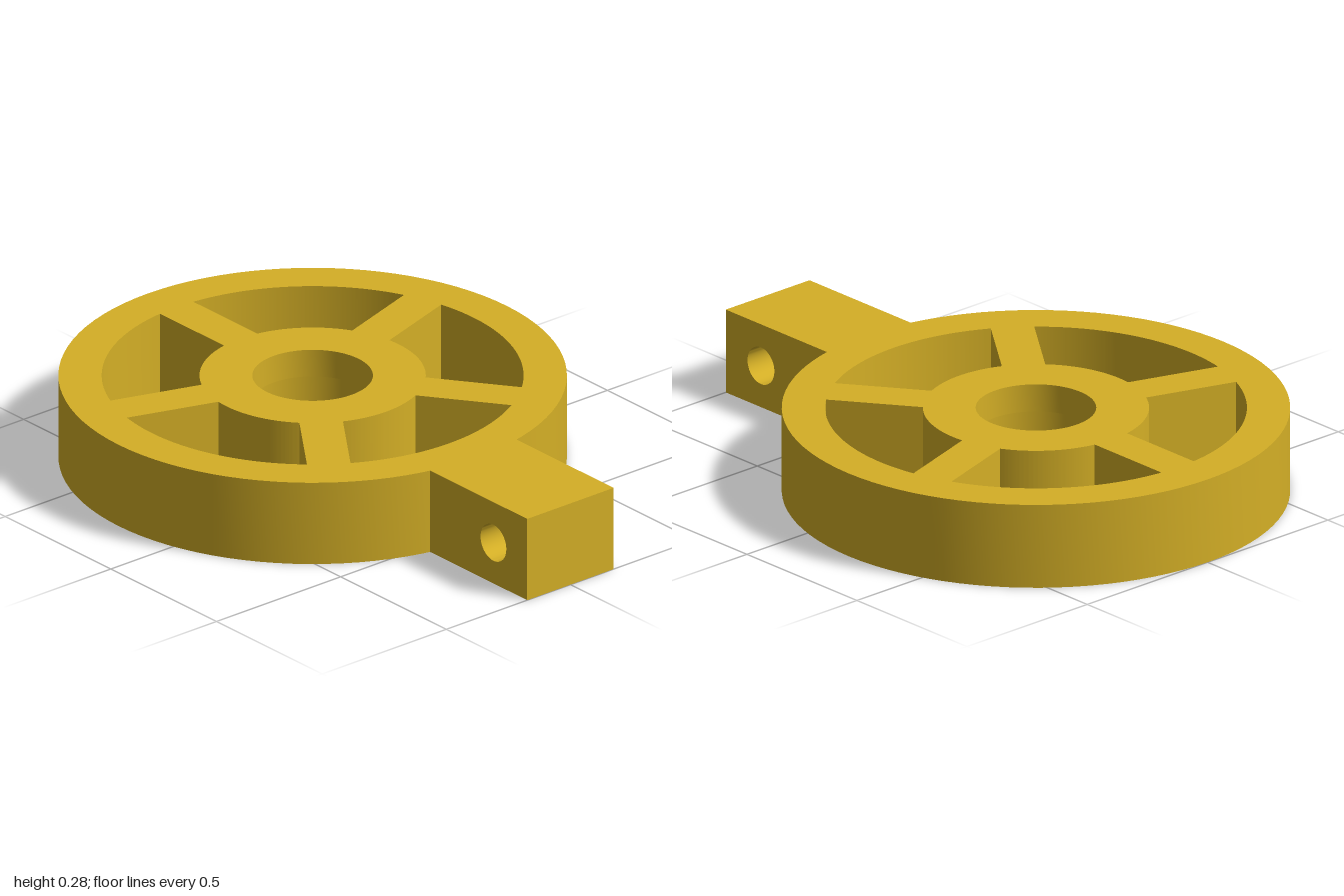
import * as THREE from 'three';
import { toCreasedNormals } from 'three/addons/utils/BufferGeometryUtils.js';

const HEIGHT = 0.275;
const CENTRE_Z = -0.22;
const RIM_OUTER = 0.78, RIM_INNER = 0.647;
const HUB_OUTER = 0.347, RECESS = 0.225, BORE = 0.185;
const SPOKES = 5, SPOKE_HALF = 0.067;
const TAB_HALF = 0.174;

function circle(x, y, r) {
  return new THREE.Path().absarc(x, y, r, 0, Math.PI * 2, true);
}

// opening between two neighbouring spokes with parallel sides
function windowPath(angle) {
  const next = angle + (Math.PI * 2) / SPOKES;
  const outer = Math.asin(SPOKE_HALF / RIM_INNER);
  const inner = Math.asin(SPOKE_HALF / HUB_OUTER);
  const path = new THREE.Path();
  path.absarc(0, 0, RIM_INNER, angle + outer, next - outer, false);
  path.absarc(0, 0, HUB_OUTER, next - inner, angle + inner, true);
  path.closePath();
  return path;
}

function extrude(shape, depth, curveSegments) {
  const geometry = new THREE.ExtrudeGeometry(shape, { depth, curveSegments, bevelEnabled: false });
  return toCreasedNormals(geometry, 0.5);
}

export function createModel() {
  const group = new THREE.Group();
  const gold = new THREE.MeshStandardMaterial({ color: 0xd4af26 });
  gold.name = 'gold';
  const add = (name, geometry) => {
    const mesh = new THREE.Mesh(geometry, gold);
    mesh.name = name;
    group.add(mesh);
    return mesh;
  };

  // rim, five spokes and hub in one plate
  const plate = new THREE.Shape().absarc(0, 0, RIM_OUTER, 0, Math.PI * 2, false);
  plate.holes.push(circle(0, 0, RECESS));
  for (let i = 0; i < SPOKES; i++) {
    plate.holes.push(windowPath(Math.PI / 2 + (i * Math.PI * 2) / SPOKES));
  }
  const wheel = add('spokedWheel', extrude(plate, HEIGHT, 48).rotateX(-Math.PI / 2));
  wheel.position.z = CENTRE_Z;

  // lip that narrows the bore at the top, leaving a recess below
  const ring = new THREE.Shape().absarc(0, 0, RECESS, 0, Math.PI * 2, false);
  ring.holes.push(circle(0, 0, BORE));
  const lip = add('hubLip', extrude(ring, 0.09, 48).rotateX(-Math.PI / 2));
  lip.position.set(0, HEIGHT - 0.09, CENTRE_Z);

  // front tab with a cross hole, rooted inside the rim
  const side = new THREE.Shape();
  side.moveTo(0.48, 0).lineTo(1, 0).lineTo(1, HEIGHT).lineTo(0.48, HEIGHT).closePath();
  side.holes.push(circle(0.84, HEIGHT / 2, 0.061));
  const tab = add('mountingTab', extrude(side, TAB_HALF * 2, 24).rotateY(-Math.PI / 2));
  tab.position.x = TAB_HALF;

  return group;
}
